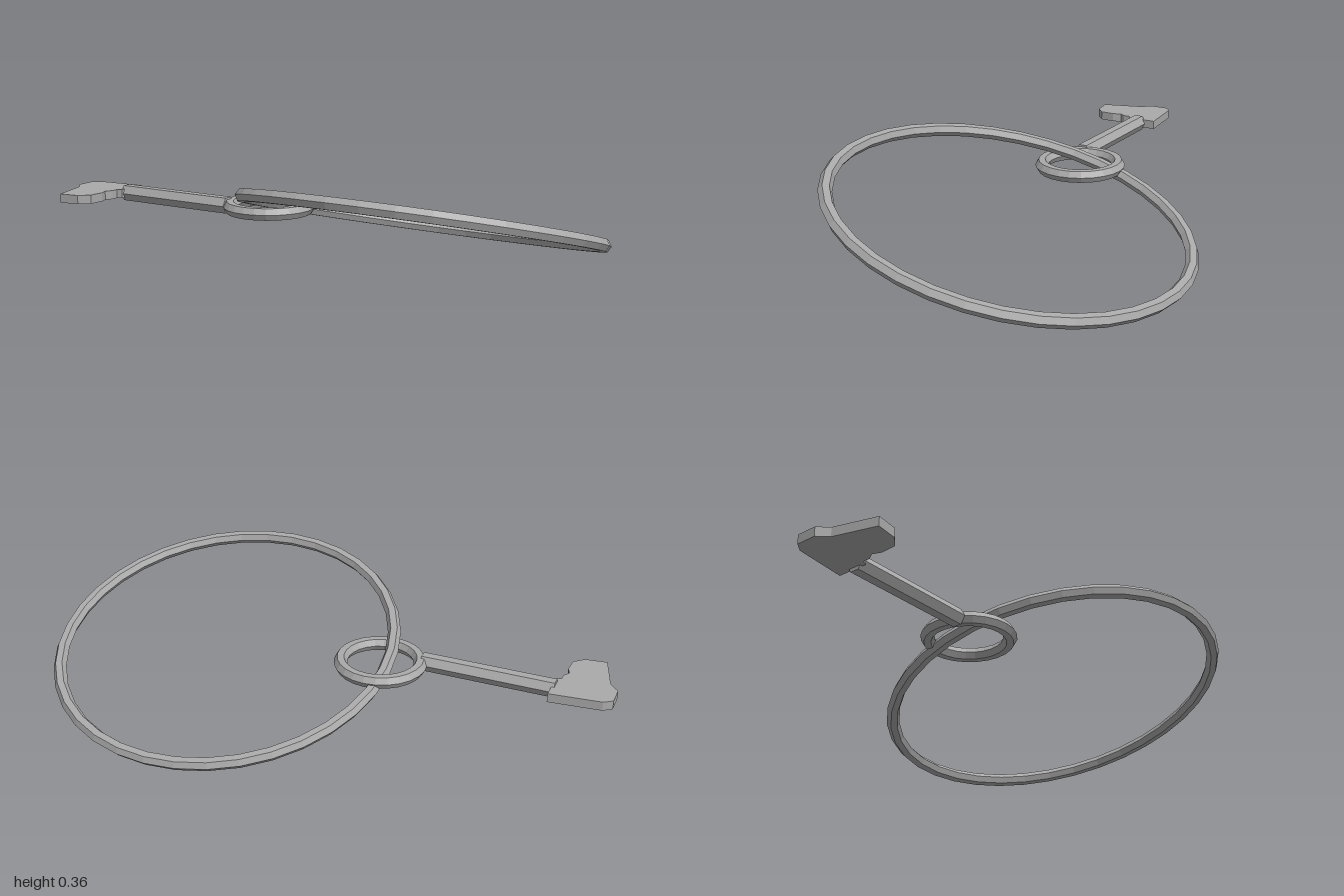
import * as THREE from 'three';

export function createModel() {
  const model = new THREE.Group();
  const metal = new THREE.MeshStandardMaterial({ color: 0xaaaaaa, flatShading: true });
  metal.name = 'grey metal';

  function add(name, geometry, x, y, z) {
    const mesh = new THREE.Mesh(geometry, metal);
    mesh.name = name;
    mesh.position.set(x, y, z);
    model.add(mesh);
    return mesh;
  }

  // Rings with a hexagonal section, lying flat
  const ring = (radius, tube, segments) =>
    new THREE.TorusGeometry(radius, tube, 6, segments).rotateX(Math.PI / 2);

  // Large carrying ring, raised at the front
  add('carryingRing', ring(0.603, 0.023, 36), 0.37, 0.184, 0).rotation.x = -0.265;

  // Key handle
  add('keyBow', ring(0.139, 0.024, 24), -0.197, 0.185, 0.064);

  // Hexagonal shaft along x, with flat top and bottom
  const shaft = new THREE.CylinderGeometry(0.032, 0.032, 0.47, 6);
  shaft.rotateZ(Math.PI / 2);
  add('keyShaft', shaft, -0.565, 0.185, 0.127);

  // Flat key bit, outlined in x and z
  const outline = [
    [-1, 0.095], [-0.97, 0.073], [-0.79, 0.055], [-0.79, 0.165], [-0.808, 0.172],
    [-0.808, 0.198], [-0.823, 0.22], [-0.812, 0.25], [-0.815, 0.305], [-0.85, 0.337],
    [-0.925, 0.347], [-0.968, 0.2], [-1, 0.165],
  ];
  const shape = new THREE.Shape(outline.map(([x, z]) => new THREE.Vector2(x, -z)));
  const bit = new THREE.ExtrudeGeometry(shape, { depth: 0.032, bevelEnabled: false });
  bit.rotateX(-Math.PI / 2);
  add('keyBit', bit, 0, 0.169, 0);

  return model;
}
